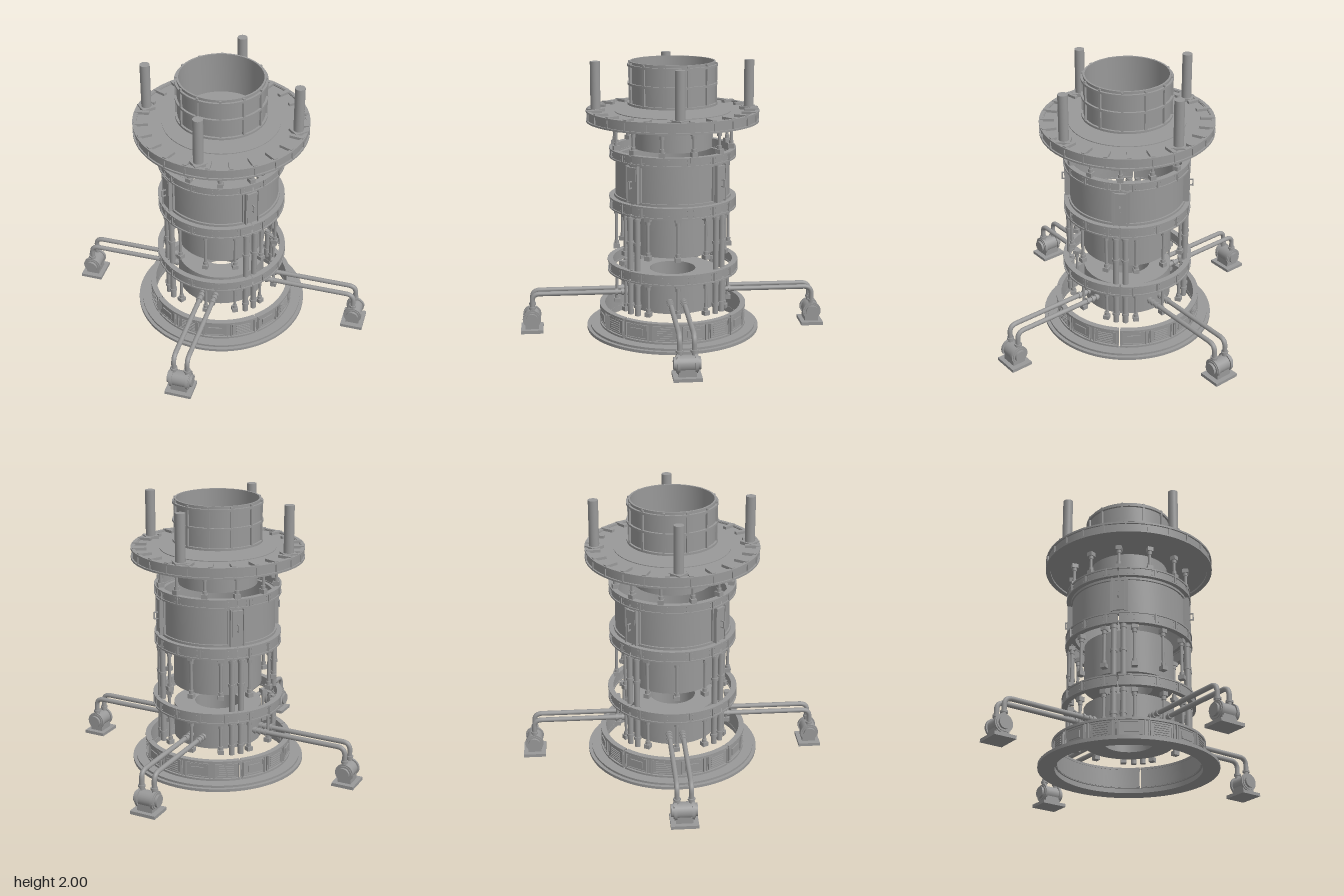
import * as THREE from 'three';
import { toCreasedNormals } from 'three/addons/utils/BufferGeometryUtils.js';

const steel = new THREE.MeshStandardMaterial({ color: 0x999999, side: THREE.DoubleSide });
steel.name = 'grey steel';
const TAU = Math.PI * 2;

function add(parent, name, geometry, x = 0, y = 0, z = 0) {
  const m = new THREE.Mesh(geometry, steel);
  m.name = name;
  m.position.set(x, y, z);
  parent.add(m);
  return m;
}
const box = (p, name, w, h, d, x, y, z) => add(p, name, new THREE.BoxGeometry(w, h, d), x, y, z);
const rod = (p, name, r, y0, y1, x, z, sides = 12) =>
  add(p, name, new THREE.CylinderGeometry(r, r, y1 - y0, sides), x, (y0 + y1) / 2, z);

// Closed rectangular-section ring; with a gap it becomes four arcs split at the quarter points
function ring(p, name, inner, outer, y0, y1, gap = 0) {
  const pts = [[inner, y0], [outer, y0], [outer, y1], [inner, y1], [inner, y0]].map(a => new THREE.Vector2(...a));
  const parts = gap ? 4 : 1;
  for (let i = 0; i < parts; i++) {
    const a = gap / outer / 2;
    const g = new THREE.LatheGeometry(pts, 72 / parts, i * Math.PI / 2 + a, TAU / parts - 2 * a);
    add(p, name, toCreasedNormals(g, 0.6));
  }
}

// Calls build on count groups spread around the axis; inside each, +z points outward
function around(p, name, count, offset, build) {
  for (let i = 0; i < count; i++) {
    const g = new THREE.Group();
    g.name = name;
    g.rotation.y = offset + i * TAU / count;
    build(g, i);
    p.add(g);
  }
}

// Hoop with edge bands, seam ribs and rivets
function hoop(p, name, r, y0, y1, seams) {
  const h = y1 - y0, mid = (y0 + y1) / 2;
  ring(p, name, r - 0.035, r - 0.008, y0, y1, 0.012);
  ring(p, name + 'LowerBand', r - 0.04, r, y0, y0 + 0.011, 0.012);
  ring(p, name + 'UpperBand', r - 0.04, r, y1 - 0.011, y1, 0.012);
  around(p, name + 'Seam', seams, Math.PI / seams, g => {
    box(g, 'seamRib', 0.012, h, 0.012, 0, mid, r - 0.005);
    for (const s of [-1, 1]) for (const t of [-1, 1])
      box(g, 'rivet', 0.006, 0.006, 0.006, s * 0.022, mid + t * h * 0.22, r - 0.007);
  });
}

// Hanger rod with a block at each end
function hangers(p, name, count, offset, r, y0, y1) {
  around(p, name, count, offset, g => {
    rod(g, 'hangerRod', 0.011, y0, y1, 0, r);
    for (const [y, s] of [[y0, 1], [y1, -1]]) {
      box(g, 'hangerBlock', 0.042, 0.032, 0.045, 0, y + s * 0.016, r);
      rod(g, 'hangerCollar', 0.017, y + s * 0.045 - 0.012, y + s * 0.045 + 0.012, 0, r);
    }
  });
}

// Twin vertical pipes on each of the four sides
function twinPipes(p, y0, y1, coupling) {
  around(p, 'twinPipes', 4, 0, g => {
    for (const s of [-1, 1]) {
      rod(g, 'verticalPipe', 0.021, y0, y1, s * 0.034, 0.432, 16);
      rod(g, 'pipeCoupling', 0.027, coupling - 0.01, coupling + 0.01, s * 0.034, 0.432, 16);
      rod(g, 'pipeEndCollar', 0.026, y1 - 0.035, y1 - 0.015, s * 0.034, 0.432, 16);
    }
  });
}

function buildBase(p) {
  ring(p, 'baseFlange', 0.52, 0.64, 0.005, 0.026);
  ring(p, 'baseFlangeStep', 0.52, 0.615, 0.026, 0.042);
  ring(p, 'baseWall', 0.508, 0.53, 0.04, 0.195, 0.012);
  ring(p, 'baseLowerBand', 0.505, 0.545, 0.045, 0.06, 0.012);
  ring(p, 'baseUpperBand', 0.505, 0.545, 0.18, 0.197, 0.012);
  around(p, 'basePanel', 16, Math.PI / 16, (g, i) => {
    box(g, 'panelPlate', 0.15, 0.088, 0.016, 0, 0.12, 0.525);
    for (const s of [-1, 1]) {
      box(g, 'panelFrameSide', 0.008, 0.1, 0.012, s * 0.078, 0.12, 0.53);
      box(g, 'panelFrameEdge', 0.164, 0.008, 0.012, 0, 0.12 + s * 0.05, 0.53);
    }
    // alternate louvres and raised covers
    if (i % 2) for (let k = -2; k <= 2; k++) box(g, 'louvre', 0.11, 0.007, 0.01, 0, 0.12 + k * 0.016, 0.535);
    else box(g, 'raisedCover', 0.1, 0.05, 0.009, 0, 0.12, 0.536);
  });
  around(p, 'baseDivider', 16, 0, g => {
    for (const s of [-1, 1]) box(g, 'dividerRib', 0.008, 0.15, 0.016, s * 0.014, 0.12, 0.535);
  });
}

function buildTower(p) {
  ring(p, 'lowerBody', 0.17, 0.325, 0.2, 0.455);
  hangers(p, 'lowerHanger', 12, Math.PI / 12, 0.415, 0.2, 0.457);
  twinPipes(p, 0.2, 0.457, 0.27);
  hoop(p, 'lowerHoop', 0.482, 0.455, 0.537, 16);

  ring(p, 'middleBody', 0.17, 0.325, 0.62, 0.938);
  hangers(p, 'middleHanger', 12, Math.PI / 12, 0.415, 0.62, 0.938);
  twinPipes(p, 0.535, 0.938, 0.735);
  hoop(p, 'middleHoop', 0.465, 0.935, 1.02, 16);

  // Panelled casing with four doors
  ring(p, 'casing', 0.395, 0.418, 1.02, 1.31);
  ring(p, 'casingLowerTrim', 0.4, 0.43, 1.02, 1.038);
  ring(p, 'casingUpperTrim', 0.4, 0.43, 1.29, 1.31);
  around(p, 'door', 4, 0, g => {
    box(g, 'doorPanel', 0.08, 0.25, 0.012, 0, 1.165, 0.446);
    for (const s of [-1, 1]) {
      box(g, 'doorJamb', 0.009, 0.27, 0.03, s * 0.048, 1.165, 0.44);
      box(g, 'casingUpright', 0.01, 0.25, 0.016, s * 0.058, 1.165, 0.42);
      box(g, 'handleArm', 0.008, 0.008, 0.03, 0, 1.165 + s * 0.024, 0.464);
    }
    box(g, 'doorTopPlate', 0.08, 0.02, 0.018, 0, 1.28, 0.446);
    box(g, 'handleGrip', 0.01, 0.056, 0.009, 0, 1.165, 0.479);
  });
  hoop(p, 'upperHoop', 0.462, 1.308, 1.377, 16);

  ring(p, 'neck', 0.17, 0.287, 1.377, 1.575);
  hangers(p, 'neckHanger', 12, 0, 0.43, 1.377, 1.56);
}

function buildTop(p) {
  add(p, 'deckPlate', toCreasedNormals(new THREE.CylinderGeometry(0.605, 0.605, 0.055, 72), 0.6), 0, 1.612, 0);
  add(p, 'deckCentre', toCreasedNormals(new THREE.CylinderGeometry(0.42, 0.42, 0.006, 72), 0.6), 0, 1.642, 0);
  ring(p, 'deckRim', 0.595, 0.615, 1.572, 1.648);
  ring(p, 'deckRimLowerBand', 0.59, 0.626, 1.57, 1.583);
  ring(p, 'deckRimUpperBand', 0.6, 0.626, 1.638, 1.652);
  around(p, 'deckRib', 24, Math.PI / 24, g => {
    box(g, 'deckTab', 0.03, 0.022, 0.1, 0, 1.648, 0.568);
    box(g, 'rimRib', 0.012, 0.07, 0.012, 0, 1.61, 0.617);
  });

  // Open chimney with a grid of ribs
  ring(p, 'chimney', 0.296, 0.309, 1.69, 2);
  for (const y of [1.69, 1.833, 1.965])
    ring(p, 'chimneyBand', 0.3, 0.325, y, y + 0.016);
  around(p, 'chimneyRib', 12, 0, g => box(g, 'rib', 0.016, 0.3, 0.022, 0, 1.845, 0.312));

  // Corner stacks
  for (const x of [-0.393, 0.393]) for (const z of [-0.393, 0.393]) {
    box(p, 'stackFoot', 0.098, 0.022, 0.098, x, 1.651, z);
    rod(p, 'stack', 0.036, 1.65, 2, x, z, 24);
  }
}

function buildPumps(p) {
  around(p, 'pump', 4, Math.PI / 4, g => {
    box(g, 'pumpPad', 0.195, 0.024, 0.165, 0, 0.012, 1.05);
    box(g, 'pumpSaddle', 0.12, 0.07, 0.1, 0, 0.055, 1.05);
    const barrel = (name, r, len, x) => {
      add(g, name, new THREE.CylinderGeometry(r, r, len, 24), x, 0.103, 1.05).rotation.z = Math.PI / 2;
    };
    barrel('pumpBarrel', 0.058, 0.15, 0);
    for (const s of [-1, 1]) {
      barrel('pumpFlange', 0.068, 0.018, s * 0.06);
      barrel('pumpCap', 0.045, 0.02, s * 0.082);
      // Feed pipe rising, bending and running into the lower body
      const x = s * 0.05, path = new THREE.CurvePath();
      const v = (y, z) => new THREE.Vector3(x, y, z);
      path.add(new THREE.LineCurve3(v(0.13, 1.045), v(0.235, 1.045)));
      path.add(new THREE.QuadraticBezierCurve3(v(0.235, 1.045), v(0.293, 1.045), v(0.293, 0.985)));
      path.add(new THREE.LineCurve3(v(0.293, 0.985), v(0.293, 0.31)));
      add(g, 'feedPipe', new THREE.TubeGeometry(path, 90, 0.018, 12));
      rod(g, 'pipeFlange', 0.026, 0.18, 0.195, x, 1.045, 16);
      for (const z of [0.34, 0.375, 0.42]) {
        const c = rod(g, 'pipeCollar', 0.025, 0.284, 0.302, x, z, 16);
        c.rotation.x = Math.PI / 2;
      }
    }
  });
}

export function createModel() {
  const model = new THREE.Group();
  model.name = 'reactorTower';
  for (const [name, build] of [['base', buildBase], ['tower', buildTower], ['top', buildTop], ['pumps', buildPumps]]) {
    const g = new THREE.Group();
    g.name = name;
    build(g);
    model.add(g);
  }
  return model;
}
